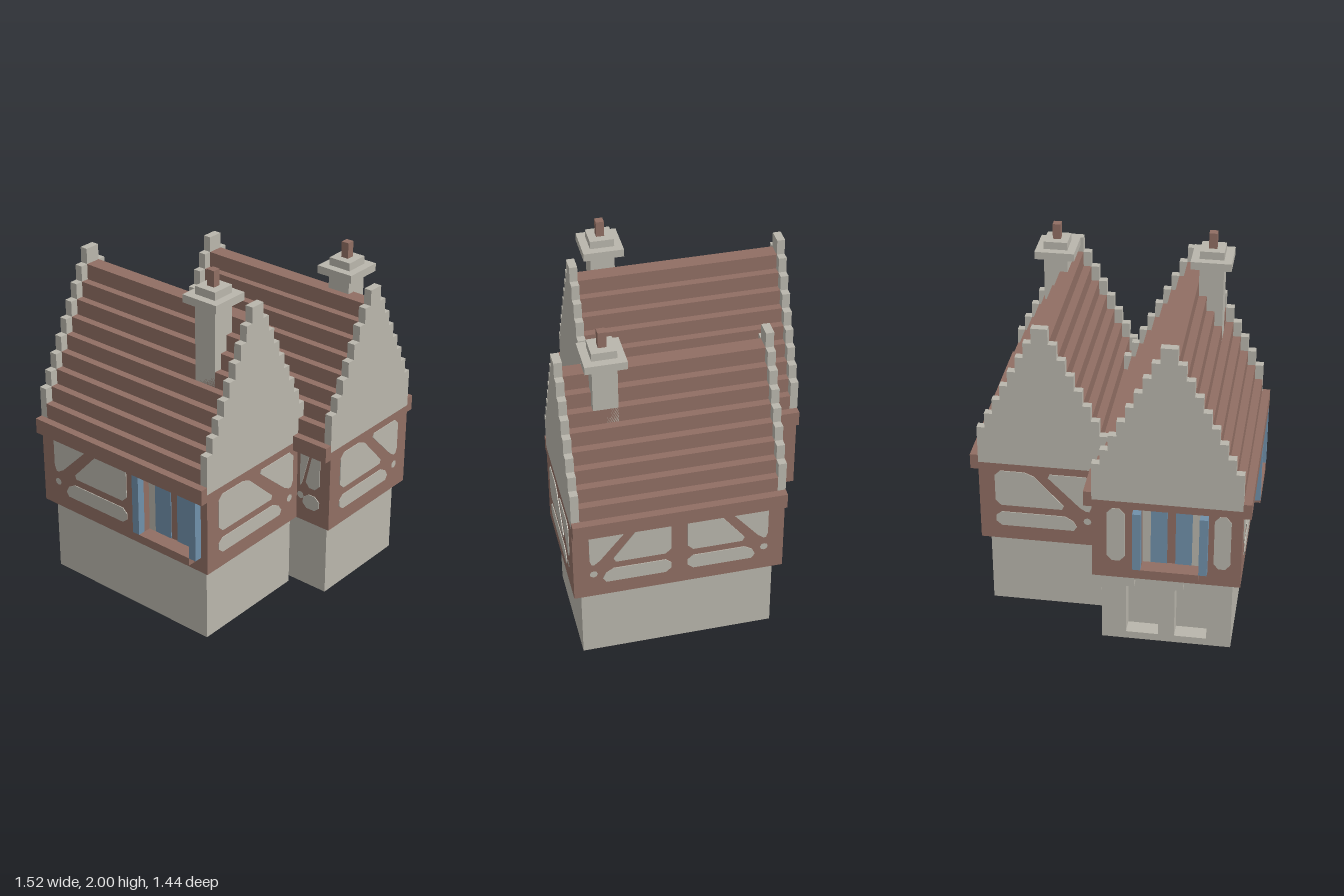
import * as THREE from 'three';

const H = 2 / 46; // one building block; everything below is measured in blocks

export function createModel() {
  const mat = (name, color) => {
    const m = new THREE.MeshStandardMaterial({ color, side: THREE.DoubleSide });
    m.name = name;
    return m;
  };
  const stone = mat('pale stone', 0xb9b6ac);
  const wood = mat('brown timber', 0x906e63);
  const blue = mat('blue paint', 0x7090aa);

  const root = new THREE.Group();
  root.name = 'twinHouse';
  root.scale.setScalar(H);

  const add = (parent, name, geo, m) => {
    const mesh = new THREE.Mesh(geo, m);
    mesh.name = name;
    parent.add(mesh);
    return mesh;
  };
  const box = (parent, name, m, x0, x1, y0, y1, z0, z1) =>
    add(parent, name, new THREE.BoxGeometry(x1 - x0, y1 - y0, z1 - z0)
      .translate((x0 + x1) / 2, (y0 + y1) / 2, (z0 + z1) / 2), m);
  const group = (parent, name) => {
    const g = new THREE.Group();
    g.name = name;
    parent.add(g);
    return g;
  };
  const toShape = pts => new THREE.Shape(pts.map(p => new THREE.Vector2(p[0], p[1])));
  const rect = (u0, u1, y0, y1) => [[u0, y0], [u1, y0], [u1, y1], [u0, y1]];
  const extrude = (shape, depth, z) =>
    new THREE.ExtrudeGeometry(shape, { depth, bevelEnabled: false }).translate(0, 0, z);

  // Wall frame: local x runs right as seen from outside, local z points outward
  const wallFrame = (parent, name, quarterTurns, dist) => {
    const outer = group(parent, name);
    outer.rotation.y = quarterTurns * Math.PI / 2;
    const inner = group(outer, name + 'Face');
    inner.position.z = dist;
    return inner;
  };
  const FRONT = 0, LEFT = 1, BACK = 2, RIGHT = 3;

  // Plaster infill with clipped corners
  const panel = (wall, pts) => {
    const out = [];
    pts.forEach((p, i) => {
      for (const q of [pts[(i + pts.length - 1) % pts.length], pts[(i + 1) % pts.length]]) {
        const len = Math.hypot(q[0] - p[0], q[1] - p[1]);
        const c = Math.min(0.7, len * 0.3) / len;
        out.push([p[0] + (q[0] - p[0]) * c, p[1] + (q[1] - p[1]) * c]);
      }
    });
    add(wall, 'plasterPanel', extrude(toShape(out), 0.1, 0), stone);
  };
  // One timber bay: panels split by a diagonal brace, with a round peg
  const bay = (wall, u0, u1, mirror) => {
    const u = f => (mirror ? u1 - f * (u1 - u0) : u0 + f * (u1 - u0));
    panel(wall, [[u(0), 15], [u(0.75), 15], [u(0.37), 20], [u(0), 20]]);
    panel(wall, [[u(0.92), 15], [u(1), 15], [u(1), 20], [u(0.51), 20]]);
    panel(wall, [[u(0), 12], [u(0.87), 12], [u(0.78), 14], [u(0), 14]]);
    add(wall, 'peg', new THREE.CircleGeometry(0.5, 8).translate(u(0.955), 13.55, 0.1), stone);
  };
  // Recessed window with shutters and sill
  const shutteredWindow = (wall, u0, u1) => {
    const w = group(wall, 'window');
    const a = u0 + 1, b = u1 - 1, mid = (a + b) / 2;
    box(w, 'shutter', blue, u0, a, 12, 20, 0, 1);
    box(w, 'shutter', blue, b, u1, 12, 20, 0, 1);
    box(w, 'sill', wood, a, b, 11, 12, 0, 1);
    box(w, 'windowEdge', stone, a, a + 1, 12, 20, -1, -0.9);
    box(w, 'windowEdge', stone, b - 1, b, 12, 20, -1, -0.9);
    box(w, 'glass', blue, a + 1, mid - 0.5, 12, 20, -1, -0.9);
    box(w, 'glass', blue, mid + 0.5, b - 1, 12, 20, -1, -0.9);
  };
  const skin = (wall, u0, u1, h0, h1) => {
    const s = toShape(rect(u0, u1, 10, 21));
    s.holes.push(toShape(rect(h0, h1, 12, 20)));
    add(wall, 'timberWall', extrude(s, 1, -1), wood);
  };

  // Stepped gable; W is its half width
  const gable = (parent, c, W, z) => {
    const half = [[W, 21]];
    for (let k = 0; k < W; k++) half.push([W - k, 26 + 2 * k], [W - k - 1 || 1, 26 + 2 * k]);
    half.pop();
    const pts = [...half, ...half.slice().reverse().map(p => [-p[0], p[1]])];
    add(parent, 'gable', extrude(toShape(pts), 1, z).translate(c, 0, 0), stone);
  };
  // Stepped roof; an optional notch cuts the low right-hand rows
  const roof = (parent, c, W, z0, z1, notch) => {
    const g = group(parent, 'roof');
    for (let k = 0; k <= W; k++) {
      const hw = k ? W + 1 - k : W, y0 = 20 + 2 * k, cut = notch && k < 3;
      box(g, 'roofStep', wood, c - hw, cut ? c + W - 2 : c + hw, y0, y0 + 2, z0 + 1, z1 - 1);
      if (cut) {
        box(g, 'roofStep', wood, c + W - 2, c + hw, y0, y0 + 2, z0 + 1, notch[0]);
        box(g, 'roofStep', wood, c + W - 2, c + hw, y0, y0 + 2, notch[1], z1 - 1);
      }
    }
    box(g, 'eave', wood, c - W - 1, c - W, 20, 22, z0, z1);
    if (notch) {
      box(g, 'eave', wood, c + W, c + W + 1, 20, 22, z0, notch[0]);
      box(g, 'eave', wood, c + W, c + W + 1, 20, 22, notch[1], z1);
    } else box(g, 'eave', wood, c + W, c + W + 1, 20, 22, z0, z1);
    gable(parent, c, W, z0);
    gable(parent, c, W, z1 - 1);
  };
  const chimney = (parent, x, z, top) => {
    const g = group(parent, 'chimney');
    const block = (name, m, r, y0, y1) => box(g, name, m, x - r, x + r, y0, y1, z - r, z + r);
    block('chimneyShaft', stone, 1.5, 31, top);
    block('chimneyCap', stone, 2.5, top, top + 1);
    block('chimneyCollar', stone, 1.5, top + 1, top + 2);
    block('chimneyPot', wood, 0.5, top + 2, top + 4);
  };
  // Hollow stone base, open underneath
  const base = (parent, x0, x1, z0, z1, niches) => {
    const g = group(parent, 'base');
    const sides = [[FRONT, x0, x1, z1], [LEFT, -z1, -z0, x1], [BACK, -x1, -x0, -z0], [RIGHT, z0, z1, -x0]];
    for (const [turn, u0, u1, d] of sides) {
      const wall = wallFrame(g, 'baseWall', turn, d);
      const s = toShape(rect(u0, u1, 0, 10));
      if (turn === BACK) for (const n of niches) {
        const pts = [[n, 1], [n + 4, 1], [n + 4, 8], [n + 3, 8], [n + 3, 9], [n + 1, 9], [n + 1, 8], [n, 8]];
        s.holes.push(toShape(pts));
        const niche = group(wall, 'niche');
        add(niche, 'nicheBack', new THREE.ShapeGeometry(toShape(pts)).translate(0, 0, -2), stone);
        pts.forEach((p, i) => {
          const q = pts[(i + 1) % pts.length], dx = q[0] - p[0], dy = q[1] - p[1];
          add(niche, 'nicheSide', new THREE.PlaneGeometry(Math.hypot(dx, dy), 2)
            .rotateX(-Math.PI / 2).rotateZ(Math.atan2(dy, dx))
            .translate((p[0] + q[0]) / 2, (p[1] + q[1]) / 2, -1), stone);
        });
      }
      add(wall, 'baseStone', new THREE.ShapeGeometry(s), stone);
    }
    box(g, 'baseCeiling', stone, x0 + 0.05, x1 - 0.05, 9.85, 9.95, z0 + 0.05, z1 - 0.05);
  };

  // Rear house, with shuttered windows on its back and right side
  const rear = group(root, 'rearHouse');
  base(rear, -15.5, 0.5, -14.5, 10.5, [2.5, 8.5]);
  box(rear, 'timberCore', wood, -15.5, 1.5, 10, 21, -14.5, 11.5);
  box(rear, 'frontCorner', wood, -16.5, -15.5, 10, 21, 11.4, 11.5);
  bay(wallFrame(rear, 'frontWall', FRONT, 11.5), -14.5, -0.5, false);
  bay(wallFrame(rear, 'leftWall', LEFT, 1.5), 9.3, 13.7, true);
  const rearBack = wallFrame(rear, 'backWall', BACK, 15.5);
  skin(rearBack, -1.5, 16.5, 4.5, 11.5);
  shutteredWindow(rearBack, 3.5, 12.5);
  panel(rearBack, rect(0.3, 2.5, 12.5, 20));
  panel(rearBack, rect(13.2, 15.2, 12.5, 20));
  const rearRight = wallFrame(rear, 'rightWall', RIGHT, 16.5);
  skin(rearRight, -14.5, 11.5, 1.5, 9.5);
  shutteredWindow(rearRight, 0.5, 10.5);
  bay(rearRight, -13.5, -1.3, true);
  roof(rear, -7.5, 9, -15.5, 11.5, [-10.5, -9.5]);
  box(rear, 'valleyBlock', stone, -0.5, 1.55, 20, 21.05, -10.5, -9.5);
  chimney(rear, -10, 7, 42);

  // Forward house
  const fore = group(root, 'foreHouse');
  base(fore, 1.5, 15.5, -8.5, 15.5, []);
  box(fore, 'timberWalls', wood, 0.5, 16.5, 10, 21, -9.5, 16.5);
  bay(wallFrame(fore, 'frontWall', FRONT, 16.5), 2.5, 14.5, false);
  const foreLeft = wallFrame(fore, 'leftWall', LEFT, 16.5);
  bay(foreLeft, -14.5, -4.5, true);
  bay(foreLeft, -2.5, 7.5, false);
  bay(wallFrame(fore, 'backWall', BACK, 9.5), -14.5, -2.5, false);
  bay(wallFrame(fore, 'rightWall', RIGHT, -0.5), 12, 15, true);
  roof(fore, 8.5, 8, -9.5, 16.5);
  chimney(fore, 10, 11, 40);

  const model = new THREE.Group();
  model.name = 'model';
  model.add(root);
  return model;
}
